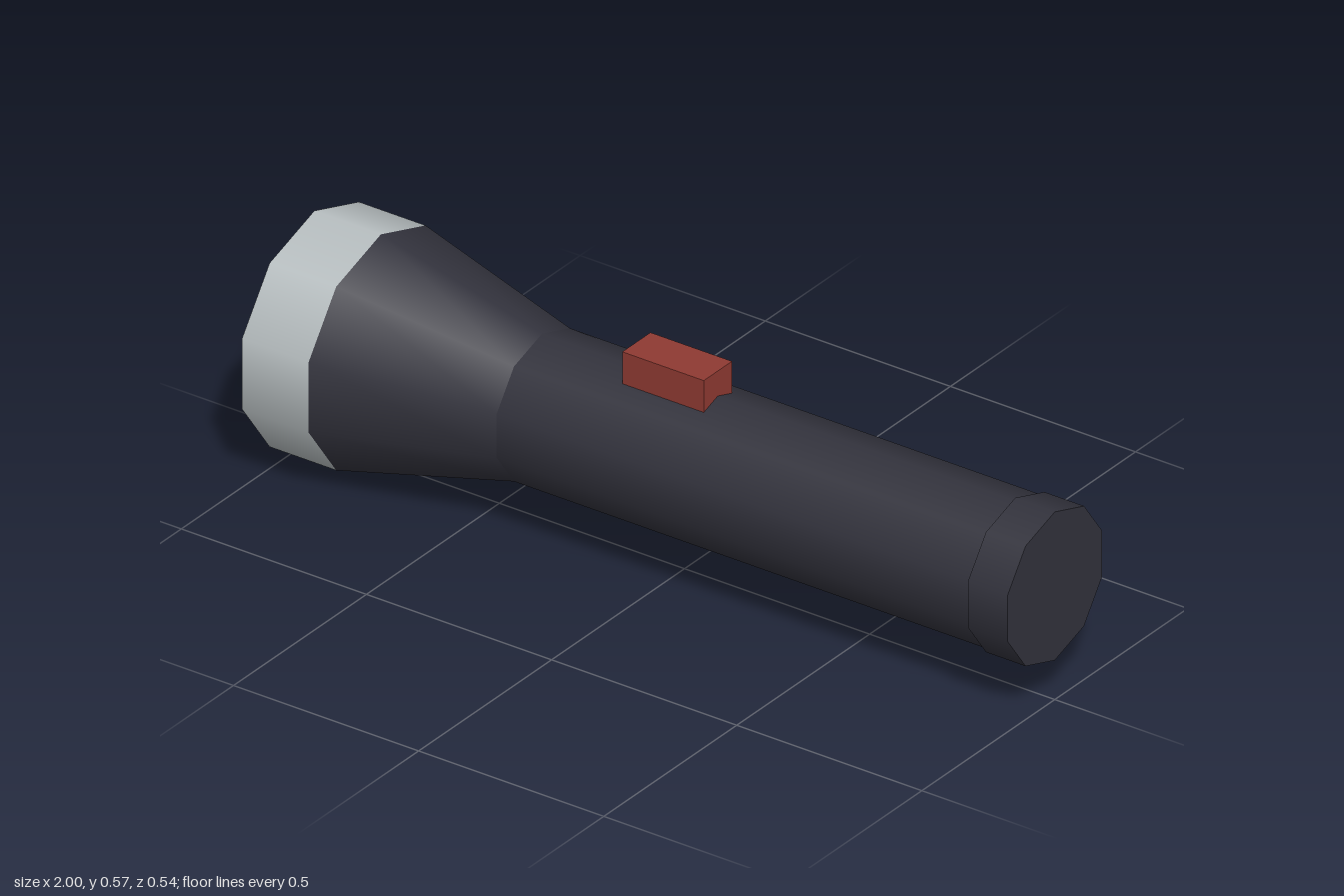
import * as THREE from 'three';

const SIDES = 10;
const AXIS_Y = 0.286;

const mat = (name, color, side = THREE.FrontSide) => {
  const m = new THREE.MeshStandardMaterial({ color, side });
  m.name = name;
  return m;
};

export function createModel() {
  const black = mat('blackPlastic', 0x32323c);
  const silver = mat('silverMetal', 0xb8bfc1, THREE.DoubleSide);
  const glass = mat('lensGlass', 0x50626a);
  const red = mat('redSwitch', 0x8f3a32);

  const group = new THREE.Group();
  group.name = 'flashlight';

  const add = (name, geometry, material, x, y = AXIS_Y) => {
    const mesh = new THREE.Mesh(geometry, material);
    mesh.name = name;
    mesh.position.set(x, y, 0);
    group.add(mesh);
  };

  // Ten-sided tube along x, with a corner pointing straight up
  const tube = (name, x0, x1, r0, r1, material, open) => {
    const g = new THREE.CylinderGeometry(r0, r1, x1 - x0, SIDES, 1, open, Math.PI / 2);
    g.rotateZ(Math.PI / 2);
    add(name, g, material, (x0 + x1) / 2);
  };

  tube('headRing', -1, -0.82, 0.286, 0.286, silver, true);
  tube('headCone', -0.82, -0.385, 0.286, 0.179, black, false);
  tube('barrel', -0.385, 0.9, 0.179, 0.179, black, false);
  tube('tailCap', 0.893, 1, 0.187, 0.187, black, false);

  // Lens closing the front of the ring
  const lens = new THREE.CircleGeometry(0.286, SIDES, Math.PI / 2);
  lens.rotateY(-Math.PI / 2);
  add('lens', lens, glass, -1);

  // Slide switch on top of the barrel
  add('switch', new THREE.BoxGeometry(0.22, 0.1, 0.106), red, -0.02, 0.478);

  return group;
}
